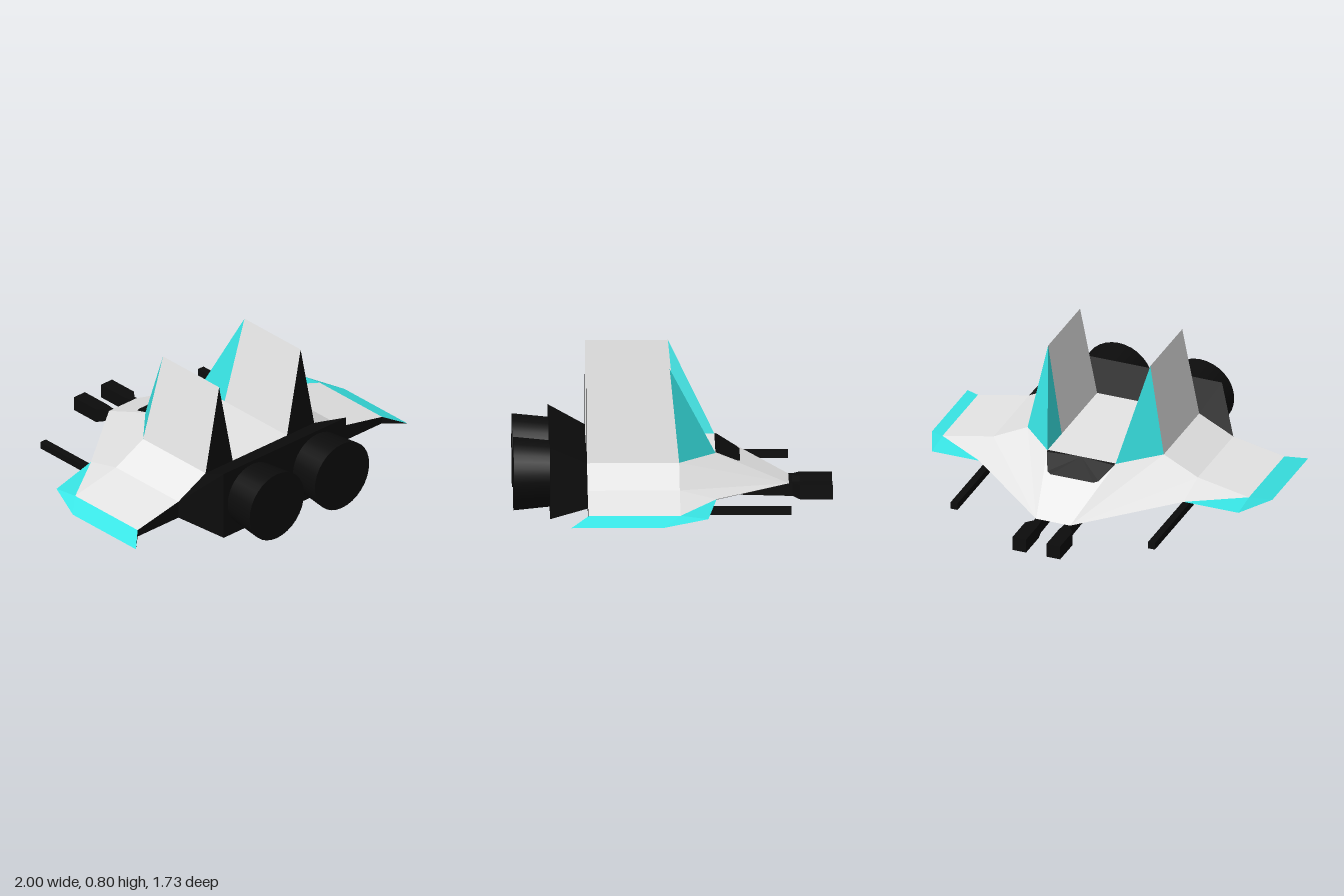
import * as THREE from 'three';

const mat = (name, color) => {
  const m = new THREE.MeshStandardMaterial({ color });
  m.name = name;
  return m;
};

// Corner points of the +x half of the craft
const P = {
  // nose
  n0: [0, 0.1, -0.63], n: [0.1, 0.1, -0.63],
  // roof
  r0: [0, 0.3, 0.47], r1: [0.4, 0.3, 0.47], r2: [0.4, 0.3, -0.03], r3: [0.2, 0.3, -0.23], r4: [0, 0.3, -0.23],
  // shoulder and wing, upper side
  s1: [0.6, 0.2, 0.47], s2: [0.6, 0.2, -0.03], s3: [0.6, 0.15, -0.23],
  w1: [0.9, 0.14, 0.47], w2: [0.9, 0.14, -0.03],
  // wing tip
  t1: [1, 0.1, 0.565], t2: [1, 0.1, 0.06], t3: [0.9, 0.12, -0.18],
  // underside
  b0: [0, 0.1, 0.47], b1: [0.6, 0.1, 0.47], b2: [0.6, 0.1, -0.03], v1: [0.9, 0.1, 0.47], v2: [0.9, 0.1, -0.03],
  // fin
  f1: [0.3, 0.8, 0.47], f2: [0.3, 0.8, 0.02], i1: [0.2, 0.3, 0.47], i2: [0.2, 0.3, -0.03],
  // engine block rear
  e0: [0, 0.4, 0.67], e1: [0.45, 0.4, 0.67], e2: [0.45, 0, 0.67], e3: [0, 0, 0.67],
  // canopy, just above the nose slope
  c0: [0, 0.303, -0.23], c1: [0.2, 0.303, -0.23], c2: [0.198, 0.298, -0.245],
  c3: [0.15, 0.243, -0.35], c4: [0.125, 0.236, -0.365], c5: [0, 0.236, -0.365],
};

// Flat faces from strings of corner names, mirrored to the other side
function faces(name, material, list) {
  const pos = [];
  for (const text of list) {
    const pts = text.split(' ').map((k) => P[k]);
    for (let i = 1; i < pts.length - 1; i++) {
      const [a, b, c] = [pts[0], pts[i], pts[i + 1]];
      pos.push(...a, ...b, ...c);
      for (const p of [a, c, b]) pos.push(-p[0], p[1], p[2]);
    }
  }
  const g = new THREE.BufferGeometry();
  g.setAttribute('position', new THREE.Float32BufferAttribute(pos, 3));
  g.computeVertexNormals();
  const mesh = new THREE.Mesh(g, material);
  mesh.name = name;
  return mesh;
}

// Bar with a (z, y) side profile, from x to x + width
function bar(profile, x, width) {
  const shape = new THREE.Shape(profile.map(([z, y]) => new THREE.Vector2(z, y)));
  const g = new THREE.ExtrudeGeometry(shape, { depth: width, bevelEnabled: false });
  return g.rotateY(-Math.PI / 2).translate(x + width, 0, 0);
}

export function createModel() {
  const white = mat('hullWhite', 0xe6e6e6);
  const teal = mat('trimTeal', 0x38e6e6);
  const black = mat('black', 0x0c0c0c);
  const model = new THREE.Group();
  model.name = 'spacecraft';

  // Hull and wings
  model.add(
    faces('hullTop', white, ['r0 r1 r2 r3 r4', 'r1 s1 s2 r2', 'n s2 s3', 'n r2 s2', 'n r3 r2', 'n0 r4 r3 n']),
    faces('wingTop', white, ['s1 w1 w2 s2', 's2 w2 s3']),
    faces('hullBottom', white, ['n0 n b2 b1 b0', 'n s3 b2', 'b2 v2 v1 b1', 'b2 s3 v2']),
    faces('wingTips', teal, ['w1 t1 t2 w2', 'w2 t2 t3', 'w2 t3 s3', 'v2 t2 t1 v1', 'v2 t3 t2', 'v2 s3 t3']),
    faces('hullRear', black, ['b0 v1 w1 s1 r1 r0', 'v1 t1 w1']),
    faces('canopy', black, ['c0 c1 c2 c3 c4 c5']),
  );

  // Fins
  model.add(
    faces('finSides', white, ['r1 r2 f2 f1', 'i2 i1 f1 f2']),
    faces('finLeadingEdges', teal, ['r2 r3 f2', 'r3 i2 f2']),
    faces('finRear', black, ['i1 r1 f1']),
  );

  // Engine block
  model.add(faces('engineBlock', black, ['r0 e0 e1 r1', 'r1 e1 s1', 's1 e1 e2 b1', 'b0 b1 e2 e3', 'e3 e2 e1 e0']));

  for (const side of [1, -1]) {
    const add = (name, g) => {
      const mesh = new THREE.Mesh(g, black);
      mesh.name = (side > 0 ? 'left' : 'right') + name;
      model.add(mesh);
      return mesh;
    };

    // Engine nozzle
    const nozzle = new THREE.CylinderGeometry(0.2, 0.18, 0.2, 32).rotateX(Math.PI / 2);
    add('Nozzle', nozzle).position.set(side * 0.24, 0.2, 0.767);

    // Outer gun
    const outer = [[0.47, 0.1], [0.37, 0.06], [-0.635, 0.06], [-0.635, 0.1]];
    add('OuterGun', bar(outer, side > 0 ? 0.56 : -0.6, 0.04));

    // Inner gun: barrel, flared collar and muzzle
    const inner = [[0.47, 0.1], [0.37, 0.06], [-0.65, 0.03], [-0.65, 0.1]];
    add('InnerGunBarrel', bar(inner, side > 0 ? 0.065 : -0.105, 0.04));
    const collar = new THREE.BoxGeometry(0.08, 0.08, 0.04).toNonIndexed();
    const p = collar.attributes.position;
    for (let i = 0; i < p.count; i++) {
      if (p.getZ(i) > 0) p.setXY(i, p.getX(i) * 0.5 - side * 0.015, p.getY(i) < 0 ? -0.03 : 0.04);
    }
    collar.computeVertexNormals();
    add('InnerGunCollar', collar).position.set(side * 0.1, 0.06, -0.67);
    add('InnerGunMuzzle', new THREE.BoxGeometry(0.08, 0.08, 0.177)).position.set(side * 0.1, 0.06, -0.7785);
  }
  return model;
}
